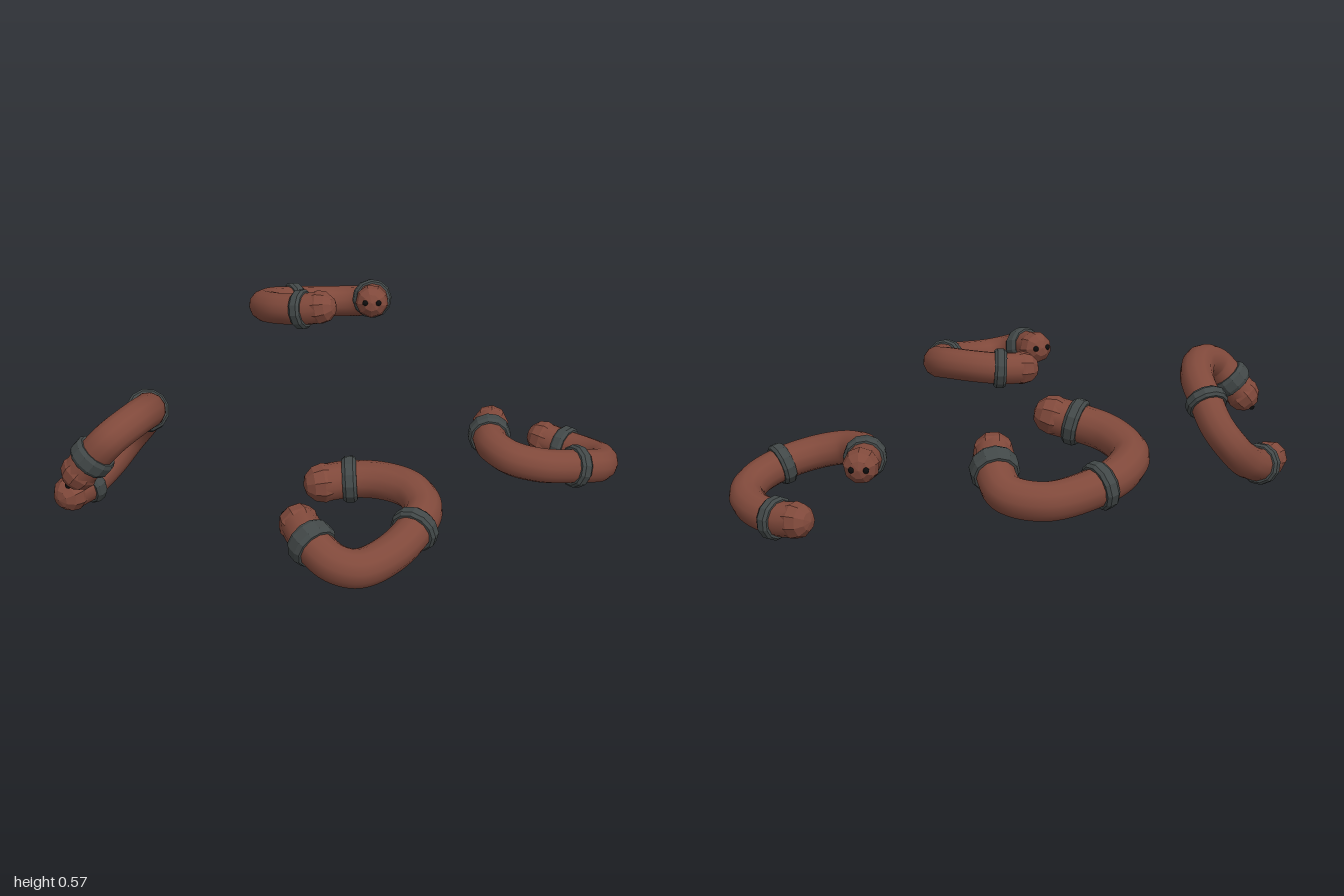
import * as THREE from 'three';

const skin = new THREE.MeshStandardMaterial({ color: 0x80493b });
const facetedSkin = new THREE.MeshStandardMaterial({ color: 0x80493b, flatShading: true });
const bandMat = new THREE.MeshStandardMaterial({ color: 0x424848, flatShading: true });
const eyeMat = new THREE.MeshStandardMaterial({ color: 0x0c0c0c });

const R = 0.06;
const UP = new THREE.Vector3(0, 1, 0);

// Each worm: spine points from head to tail, and which spine points carry a band
const worms = [
  {
    name: 'backWorm', bands: [1, 4, 8],
    spine: [[0.19, 0.475, -0.715], [0.2, 0.455, -0.8], [0.18, 0.415, -0.89], [0.07, 0.4, -0.935], [-0.1, 0.42, -0.89],
      [-0.18, 0.44, -0.835], [-0.22, 0.46, -0.755], [-0.18, 0.485, -0.65], [-0.09, 0.505, -0.575], [-0.025, 0.52, -0.548]],
  },
  {
    name: 'frontWorm', bands: [1, 5, 9],
    spine: [[-0.2, 0.32, 0.765], [-0.17, 0.3, 0.85], [-0.11, 0.265, 0.915], [-0.04, 0.25, 0.928], [0.06, 0.262, 0.875],
      [0.15, 0.29, 0.775], [0.19, 0.31, 0.68], [0.165, 0.33, 0.6], [0.08, 0.335, 0.53], [-0.02, 0.33, 0.5], [-0.105, 0.325, 0.507]],
  },
  {
    name: 'leftWorm', bands: [1, 5, 9],
    spine: [[0.55, 0.22, -0.115], [0.53, 0.215, -0.03], [0.53, 0.21, 0.05], [0.58, 0.195, 0.125], [0.68, 0.175, 0.152],
      [0.81, 0.15, 0.12], [0.905, 0.12, 0.06], [0.937, 0.1, -0.02], [0.915, 0.085, -0.1], [0.845, 0.08, -0.19], [0.78, 0.09, -0.242]],
  },
  {
    name: 'rightWorm', bands: [1, 5, 9],
    spine: [[-0.885, 0.27, 0.238], [-0.84, 0.325, 0.248], [-0.78, 0.39, 0.255], [-0.705, 0.42, 0.185], [-0.662, 0.4, 0.07],
      [-0.664, 0.35, -0.05], [-0.685, 0.285, -0.115], [-0.735, 0.215, -0.138], [-0.805, 0.14, -0.1], [-0.88, 0.095, -0.025], [-0.935, 0.09, 0.035]],
  },
];

function mesh(name, geometry, material) {
  const m = new THREE.Mesh(geometry, material);
  m.name = name;
  return m;
}

// Put a part on the spine with its own y axis along the given direction
function place(part, position, direction) {
  part.position.copy(position);
  part.quaternion.setFromUnitVectors(UP, direction);
  return part;
}

// Chamfered ring around the body
function bandGeometry(width) {
  const h = width / 2;
  const profile = [[R - 0.008, -h], [0.067, -h], [0.075, -h * 0.55], [0.075, h * 0.55], [0.067, h], [R - 0.008, h]];
  return new THREE.LatheGeometry(profile.map(([x, y]) => new THREE.Vector2(x, y)), 12);
}

function buildWorm({ name, spine, bands }) {
  const worm = new THREE.Group();
  worm.name = name;
  const points = spine.map((p) => new THREE.Vector3(...p));
  const curve = new THREE.CatmullRomCurve3(points);
  const last = points.length - 1;

  worm.add(mesh('body', new THREE.TubeGeometry(curve, 80, R, 12), skin));

  // Bands
  bands.forEach((i, k) => {
    const band = mesh('band', bandGeometry(k === 0 ? 0.06 : 0.045), bandMat);
    worm.add(place(band, points[i], curve.getTangent(i / last)));
  });

  // Faceted head and tail caps
  const headDir = curve.getTangent(0).negate();
  const tailDir = curve.getTangent(1);
  const cap = new THREE.SphereGeometry(0.064, 9, 6);
  worm.add(place(mesh('head', cap, facetedSkin), points[0], headDir));
  worm.add(place(mesh('tail', cap, facetedSkin), points[last], tailDir));

  // Pair of eyes on the tip of the head
  const side = new THREE.Vector3().crossVectors(UP, headDir).normalize();
  for (const s of [-1, 1]) {
    const eye = mesh('eye', new THREE.SphereGeometry(0.011, 10, 8), eyeMat);
    eye.position.copy(points[0]).addScaledVector(headDir, 0.055).addScaledVector(side, s * 0.025);
    worm.add(eye);
  }
  return worm;
}

export function createModel() {
  const model = new THREE.Group();
  model.name = 'worms';
  worms.forEach((w) => model.add(buildWorm(w)));
  return model;
}
